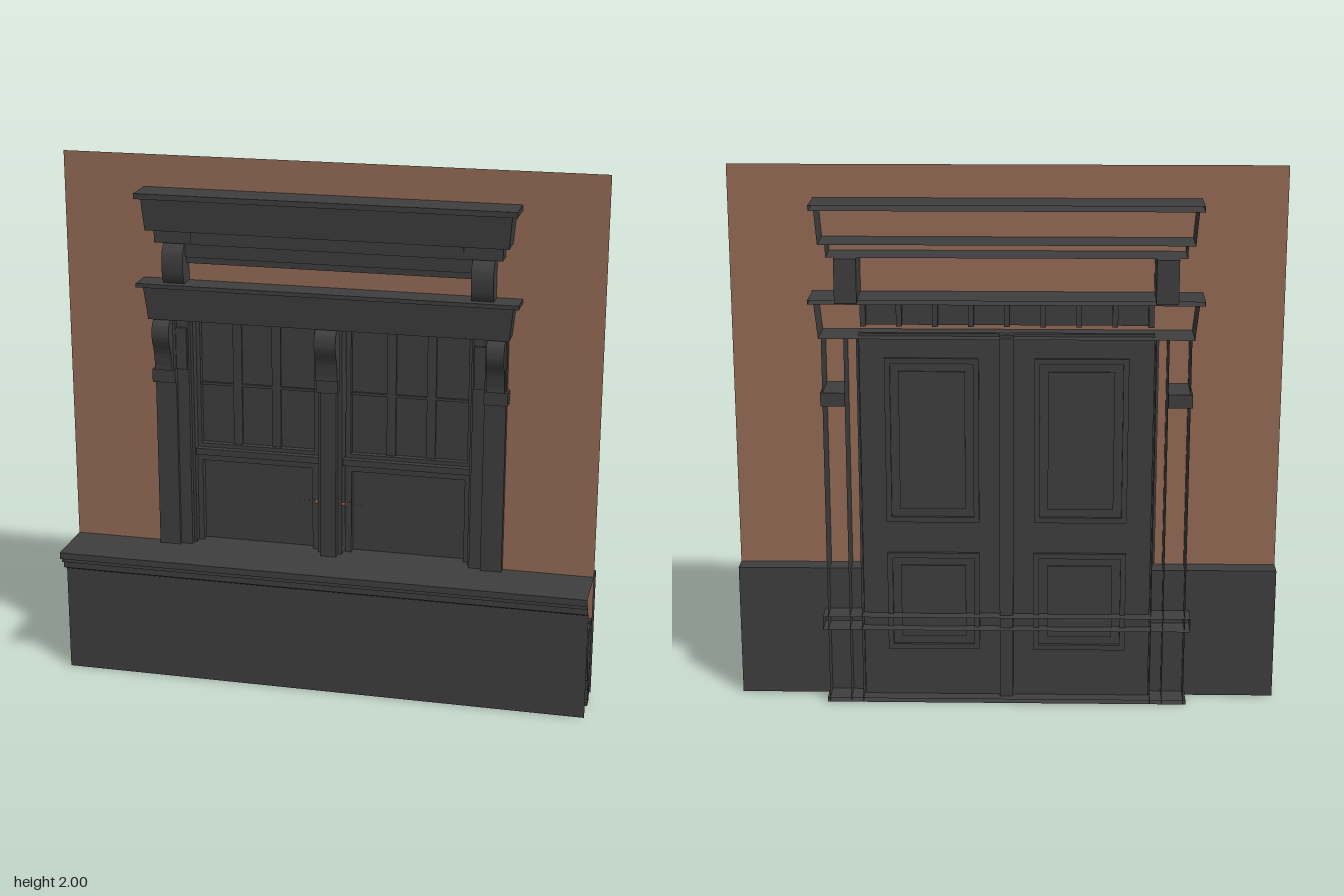
import * as THREE from 'three';
import { mergeGeometries } from 'three/addons/utils/BufferGeometryUtils.js';

export function createModel() {
  const model = new THREE.Group();
  const dark = new THREE.MeshStandardMaterial({ color: 0x3e3e3e, side: THREE.DoubleSide });
  dark.name = 'charcoal paint';
  const brick = new THREE.MeshStandardMaterial({ color: 0x946a54, side: THREE.DoubleSide });
  brick.name = 'brick brown';
  const copper = new THREE.MeshStandardMaterial({ color: 0x9c6038 });
  copper.name = 'copper';

  const add = (name, geo, mat = dark, parent = model) => {
    const m = new THREE.Mesh(geo, mat);
    m.name = name;
    parent.add(m);
    return m;
  };
  // solid block between two corners
  const block = (x0, x1, y0, y1, z0, z1) =>
    new THREE.BoxGeometry(x1 - x0, y1 - y0, z1 - z0).translate((x0 + x1) / 2, (y0 + y1) / 2, (z0 + z1) / 2);
  // block without its back face
  const shell = (...c) => {
    const g = block(...c);
    g.setIndex(Array.from(g.index.array).slice(0, 30));
    g.clearGroups();
    return g;
  };
  const sheet = (x0, x1, y0, y1, z) =>
    new THREE.PlaneGeometry(x1 - x0, y1 - y0).translate((x0 + x1) / 2, (y0 + y1) / 2, z);
  // four bars around an opening
  const ring = (x0, x1, y0, y1, z0, z1, w) => mergeGeometries([
    block(x0, x0 + w, y0, y1, z0, z1), block(x1 - w, x1, y0, y1, z0, z1),
    block(x0 + w, x1 - w, y0, y0 + w, z0, z1), block(x0 + w, x1 - w, y1 - w, y1, z0, z1)]);
  // [z, y] profile run along x
  const run = (pts, x0, x1) => {
    const s = new THREE.Shape(pts.map(([z, y]) => new THREE.Vector2(-z, y)));
    return new THREE.ExtrudeGeometry(s, { depth: x1 - x0, bevelEnabled: false })
      .rotateY(Math.PI / 2).translate(x0, 0, 0);
  };
  // smooth curve through a few [z, y] points
  const curve = (pts, n = 16) => new THREE.SplineCurve(pts.map(p => new THREE.Vector2(...p)))
    .getPoints(n).map(p => [p.x, p.y]);

  // wall with the window opening
  const wall = new THREE.Shape([[-1, 0], [1, 0], [1, 2], [-1, 2]].map(p => new THREE.Vector2(...p)));
  wall.holes.push(new THREE.Path([[-0.55, 0.02], [-0.55, 1.39], [0.55, 1.39], [0.55, 0.02]].map(p => new THREE.Vector2(...p))));
  add('brickWall', new THREE.ShapeGeometry(wall).translate(0, 0, -0.03), brick);

  // base: front panel, ledge moulding and back panel, with open ends
  const base = new THREE.Group();
  base.name = 'base';
  model.add(base);
  add('frontPanel', sheet(-1, 1, 0, 0.42, 0.12), dark, base);
  add('backPanel', sheet(-1, 1, 0, 0.5, -0.1), dark, base);
  add('ledgeTop', new THREE.PlaneGeometry(2, 0.29).rotateX(-Math.PI / 2).translate(0, 0.5, 0.045), dark, base);
  const steps = [[0.12, 0.41], [0.15, 0.425], [0.15, 0.455], [0.17, 0.455], [0.17, 0.475], [0.19, 0.475], [0.19, 0.5]];
  for (let i = 0; i < steps.length - 1; i++) {
    const [z0, y0] = steps[i], [z1, y1] = steps[i + 1];
    const g = new THREE.PlaneGeometry(2, Math.hypot(z1 - z0, y1 - y0))
      .rotateX(Math.atan2(z1 - z0, y1 - y0)).translate(0, (y0 + y1) / 2, (z0 + z1) / 2);
    add('ledgeMoulding', g, dark, base);
  }
  add('innerMoulding', run([[-0.01, 0], [0.02, 0], [0.02, 0.015], [0.01, 0.02], [0.01, 0.07], [0.03, 0.07],
    [0.03, 0.12], [0.055, 0.12], ...curve([[0.055, 0.15], [0.075, 0.2], [0.085, 0.24], [0.075, 0.28], [0.05, 0.3]]),
    [0.08, 0.305], [0.08, 0.335], [0.02, 0.335], [0.02, 0.345], [-0.01, 0.345]], -1, 1), dark, base);

  // pilasters, jambs and scroll brackets on both sides
  const lowBracket = [[-0.02, 1.15], [0.01, 1.15], [0.01, 1.2], [0.022, 1.2],
    ...curve([[0.022, 1.22], [0.03, 1.27], [0.05, 1.32], [0.053, 1.35], [0.045, 1.38], [0.02, 1.4]]), [-0.02, 1.4]];
  const highBracket = [[-0.19, 1.53], ...curve([[0.03, 1.53], [0.048, 1.57], [0.053, 1.62], [0.045, 1.66], [0.02, 1.69]]), [-0.19, 1.69]];
  for (const s of [-1, 1]) {
    const span = (a, b) => (s > 0 ? [a, b] : [-b, -a]);
    add('pilaster', shell(...span(0.58, 0.66), 0, 1.4, -0.19, 0));
    add('jamb', shell(...span(0.535, 0.58), 0, 1.4, -0.19, -0.015));
    add('jambBead', block(...span(0.525, 0.54), 0.5, 1.39, -0.1, -0.04));
    add('jambCap', block(...span(0.54, 0.582), 1.2, 1.36, -0.02, -0.005));
    add('sideBracket', run(lowBracket, ...span(0.59, 0.655)));
    add('bracketFoot', block(...span(0.58, 0.668), 1.15, 1.2, -0.19, 0.015));
    add('upperBracket', run(highBracket, ...span(0.53, 0.61)));
  }
  add('mullion', block(-0.03, 0.03, 0, 1.4, -0.12, -0.005));
  add('mullionEdge', block(-0.045, 0.045, 0.34, 1.39, -0.11, -0.04));
  add('centreBracket', run(lowBracket, -0.04, 0.04));

  // skirting shelf around the pilaster feet
  add('skirtingCap', shell(-0.68, 0.68, 0.29, 0.34, -0.19, 0.0));
  add('footStrip', shell(-0.67, 0.67, 0, 0.015, -0.19, 0.0));

  // lower entablature, flaring slightly to the top
  const flare = (g, yMid, k) => {
    const p = g.attributes.position;
    for (let i = 0; i < p.count; i++) if (p.getY(i) > yMid) {
      p.setX(i, p.getX(i) * k);
      if (p.getZ(i) > 0) p.setZ(i, p.getZ(i) + 0.01);
    }
    g.computeVertexNormals();
    return g;
  };
  add('lowerFrieze', flare(shell(-0.67, 0.67, 1.4, 1.525, -0.19, 0.042), 1.46, 1.02));
  add('lowerCap', shell(-0.705, 0.705, 1.525, 1.54, -0.19, 0.07));

  // upper entablature
  add('crossRail', block(-0.53, 0.53, 1.635, 1.69, -0.02, 0.015));
  add('crossRailBead', block(-0.53, 0.53, 1.61, 1.635, -0.02, 0.0));
  add('upperFrieze', shell(-0.64, 0.64, 1.69, 1.74, -0.17, 0.04));
  add('upperFriezeCentre', block(-0.5, 0.5, 1.69, 1.74, 0.03, 0.045));
  add('cornice', flare(shell(-0.665, 0.665, 1.74, 1.86, -0.19, 0.07), 1.8, 1.015));
  add('corniceCap', shell(-0.695, 0.695, 1.86, 1.88, -0.19, 0.1));

  // transom lights behind the lower entablature
  add('transom', sheet(-0.53, 0.53, 1.42, 1.52, -0.05));
  for (let i = 0; i <= 8; i++) {
    const x = -0.52 + i * 0.13;
    add('transomBar', block(x - 0.01, x + 0.01, 1.42, 1.52, -0.08, -0.05));
  }

  // two sash windows with shutter leaves behind
  for (const s of [-1, 1]) {
    const span = (a, b) => (s > 0 ? [a, b] : [-b, -a]);
    const sash = new THREE.Group();
    sash.name = 'sashWindow';
    model.add(sash);
    add('upperPane', sheet(...span(0.04, 0.54), 0.86, 1.39, -0.105), dark, sash);
    add('lowerPane', sheet(...span(0.04, 0.54), 0.34, 0.86, -0.1), dark, sash);
    add('upperFrame', ring(...span(0.05, 0.53), 0.87, 1.385, -0.105, -0.08, 0.02), dark, sash);
    add('lowerFrame', ring(...span(0.05, 0.53), 0.34, 0.85, -0.1, -0.07, 0.025), dark, sash);
    add('meetingRail', block(...span(0.045, 0.535), 0.85, 0.875, -0.1, -0.055), dark, sash);
    for (const x of [0.22, 0.37])
      add('muntin', block(...span(x - 0.017, x + 0.017), 0.89, 1.365, -0.105, -0.095), dark, sash);
    add('crossMuntin', block(...span(0.07, 0.51), 1.118, 1.128, -0.105, -0.095), dark, sash);

    // small latch
    add('latchKnob', new THREE.SphereGeometry(0.007, 10, 8).translate(s * 0.052, 0.705, -0.035), copper, sash);
    for (let i = 0; i < 4; i++)
      add('latchBead', new THREE.SphereGeometry(0.003, 8, 6)
        .translate(s * (0.07 + i * 0.016), 0.704 - i * 0.003, -0.06), copper, sash);

    // panelled shutter leaf
    const leaf = new THREE.Group();
    leaf.name = 'shutterLeaf';
    model.add(leaf);
    add('leafBoard', block(...span(0.01, 0.53), 0.01, 1.41, -0.14, -0.12), dark, leaf);
    for (const [y0, y1] of [[0.2, 0.58], [0.7, 1.32]]) {
      add('panelMoulding', ring(...span(0.1, 0.44), y0, y1, -0.152, -0.138, 0.02), dark, leaf);
      add('raisedPanel', block(...span(0.15, 0.39), y0 + 0.05, y1 - 0.05, -0.146, -0.138), dark, leaf);
    }
  }
  add('shutterAstragal', block(-0.025, 0.025, 0.01, 1.41, -0.16, -0.13));

  return model;
}
